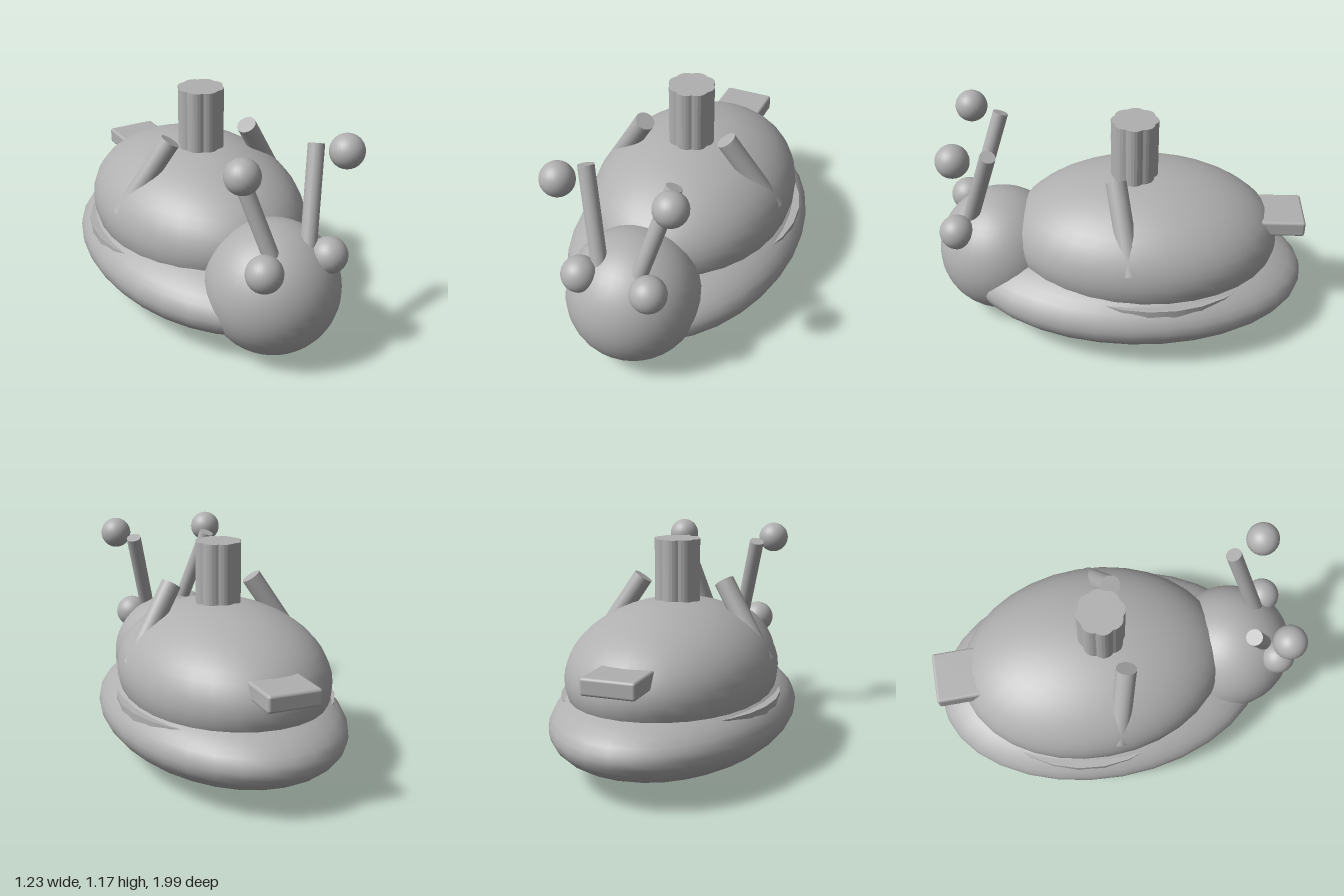
import * as THREE from 'three';
import { RoundedBoxGeometry } from 'three/addons/geometries/RoundedBoxGeometry.js';

const grey = new THREE.MeshStandardMaterial({ color: 0xb0b0b0 });
grey.name = 'plain grey';

export function createModel() {
  const model = new THREE.Group();
  model.name = 'snail';

  const add = (name, geometry, x = 0, y = 0, z = 0) => {
    const mesh = new THREE.Mesh(geometry, grey);
    mesh.name = name;
    mesh.position.set(x, y, z);
    model.add(mesh);
    return mesh;
  };
  const ball = (name, rx, ry, rz, x, y, z, seg = 32) =>
    add(name, new THREE.SphereGeometry(1, seg, seg * 0.75).scale(rx, ry, rz), x, y, z);

  // Straight round rod between two points
  const rod = (name, radius, from, to) => {
    const a = new THREE.Vector3(...from), b = new THREE.Vector3(...to);
    const dir = b.clone().sub(a);
    const mesh = add(name, new THREE.CylinderGeometry(radius, radius, dir.length(), 20));
    mesh.position.copy(a).lerp(b, 0.5);
    mesh.quaternion.setFromUnitVectors(new THREE.Vector3(0, 1, 0), dir.normalize());
  };

  // Main rounded masses
  ball('body', 0.613, 0.26, 0.924, 0, 0.265, -0.073);
  ball('shell', 0.537, 0.372, 0.72, 0, 0.49, -0.125);
  ball('head', 0.343, 0.343, 0.343, 0, 0.359, 0.654);

  // Thin rim between shell and body
  add('shellRim', new THREE.CylinderGeometry(1, 1, 0.04, 28).scale(0.57, 1, 0.62), 0, 0.37, -0.165);

  // Paired parts
  for (const [side, s] of [['left', 1], ['right', -1]]) {
    ball(side + 'Eye', 0.092, 0.092, 0.092, s * 0.183, 0.583, 0.857, 24);
    rod(side + 'Feeler', 0.041, [s * 0.1, 0.6, 0.8], [s * 0.227, 1.078, 0.648]);
    ball(side + 'FeelerBall', 0.085, 0.085, 0.085, s * 0.284, 1.086, 0.812, 24);
    rod(side + 'SidePipe', 0.053, [s * 0.48, 0.55, -0.07], [s * 0.229, 0.948, 0.014]);
  }

  // Fluted chimney with eight lobes
  const outline = [];
  for (let i = 0; i < 48; i++) {
    const a = (i / 48) * Math.PI * 2;
    const r = 0.112 + 0.011 * Math.abs(Math.cos(4 * a));
    outline.push(new THREE.Vector2(Math.cos(a) * r, Math.sin(a) * r));
  }
  const chimney = new THREE.ExtrudeGeometry(new THREE.Shape(outline), { depth: 0.476, bevelEnabled: false });
  add('chimney', chimney.rotateX(-Math.PI / 2), 0, 0.7, -0.074);

  // Tail block at the back of the shell
  add('tailBlock', new RoundedBoxGeometry(0.276, 0.087, 0.3, 3, 0.015), 0, 0.607, -0.827);

  return model;
}
